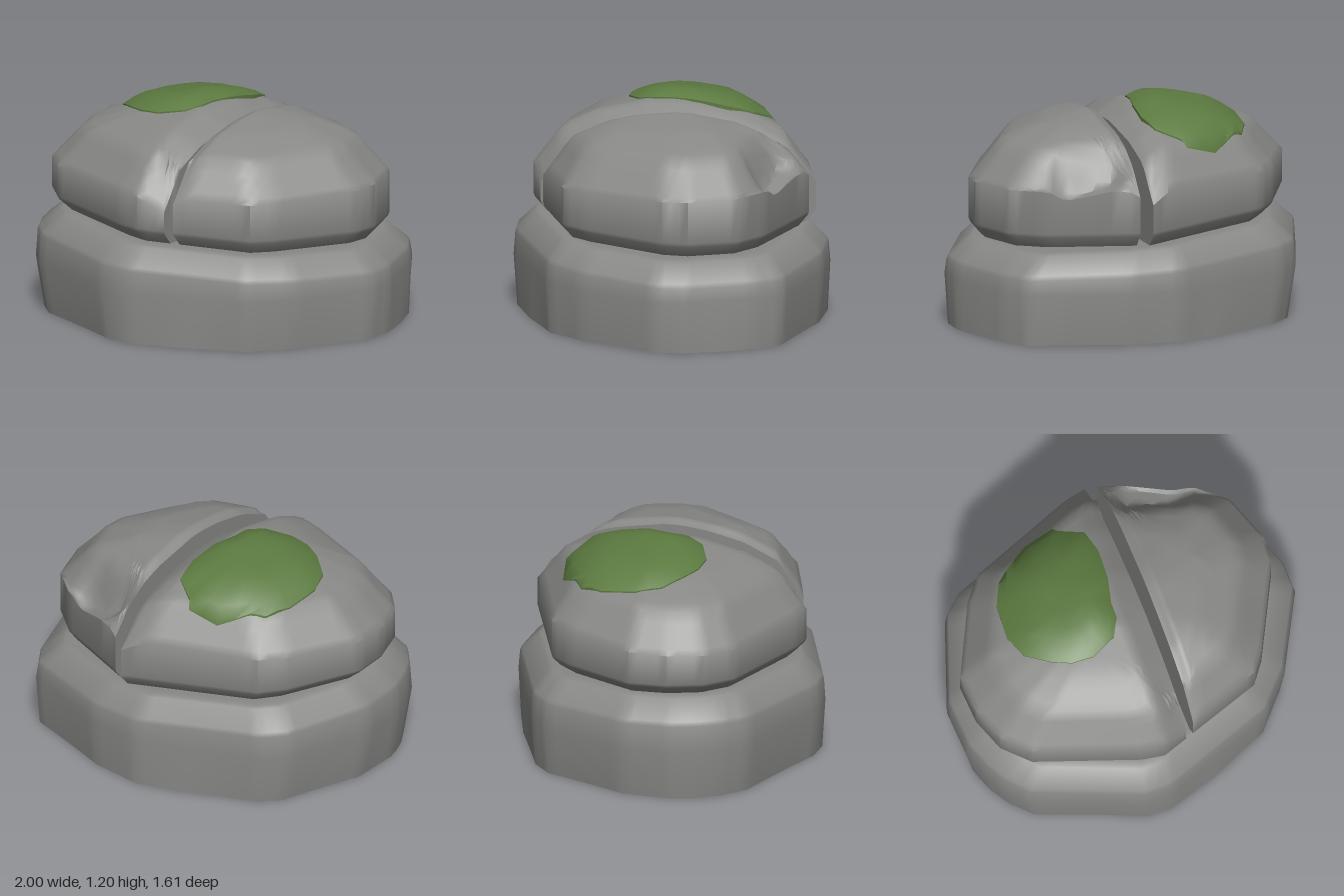
import * as THREE from 'three';
import { toCreasedNormals } from 'three/addons/utils/BufferGeometryUtils.js';

// Plan outlines as [x, z], running from the front round by the right side (-x) to the back and home again
const LEFT_HALF = [[0.41, -0.65], [0.8, -0.3], [0.9, -0.13], [0.9, 0.15], [0.84, 0.28], [0.48, 0.62], [0.36, 0.7], [-0.07, 0.7]];
const RIGHT_HALF = [[-0.12, 0.7], [-0.27, 0.7], [-0.38, 0.64], [-0.84, 0.27], [-0.92, 0.1], [-0.92, -0.1], [-0.86, -0.3],
  [-0.55, -0.6], [-0.41, -0.68], [0.36, -0.7]];
const WHOLE = [...RIGHT_HALF, ...LEFT_HALF];
const BASE = [[-0.31, 0.8], [-0.45, 0.75], [-0.92, 0.34], [-0.98, 0.2], [-1, 0.08], [-1, -0.08], [-0.92, -0.34], [-0.6, -0.73],
  [-0.46, -0.79], [0.25, -0.81], [0.52, -0.7], [0.96, -0.36], [1, -0.2], [1, 0.2], [0.95, 0.35], [0.6, 0.67], [0.37, 0.79]];
const MOSS = [[-0.58, -0.24], [-0.5, -0.42], [-0.4, -0.52], [-0.25, -0.57], [-0.15, -0.6], [0.02, -0.57], [0.03, -0.53],
  [0.12, -0.42], [0.1, -0.28], [0.03, -0.12], [-0.05, 0], [-0.08, 0.08], [-0.16, 0.15], [-0.31, 0.16], [-0.42, 0.11],
  [-0.5, 0.03], [-0.58, -0.1]].reverse();
const DOME = [[0, 1.15], [0.2, 1.145], [0.55, 1.09], [0.8, 1.01], [1, 0.81]];

// Splits a closed outline into short steps so that long faces stay flat
function subdivide(outline, step = 0.06) {
  const out = [];
  outline.forEach(([x, z], i) => {
    const [x2, z2] = outline[(i + 1) % outline.length];
    const n = Math.max(1, Math.round(Math.hypot(x2 - x, z2 - z) / step));
    for (let k = 0; k < n; k++) out.push([x + (x2 - x) * k / n, z + (z2 - z) * k / n]);
  });
  return out;
}

// Skins a list of equal closed rings, from the lowest outwards and up
function loft(rings, crease) {
  const n = rings[0].length, index = [];
  for (let r = 0; r < rings.length - 1; r++) {
    for (let i = 0; i < n; i++) {
      const a = r * n + i, a2 = r * n + (i + 1) % n;
      index.push(a, a + n, a2, a2, a + n, a2 + n);
    }
  }
  const g = new THREE.BufferGeometry();
  g.setAttribute('position', new THREE.Float32BufferAttribute(rings.flat(2), 3));
  g.setIndex(index);
  return toCreasedNormals(g, crease);
}

// Distance from the middle as a fraction of the way to the whole outline
function edgeFraction(x, z) {
  let t = 0;
  WHOLE.forEach(([ax, az], i) => {
    const [bx, bz] = WHOLE[(i + 1) % WHOLE.length];
    const nx = bz - az, nz = ax - bx;
    t = Math.max(t, (x * nx + z * nz) / (ax * nx + az * nz));
  });
  return Math.min(t, 1);
}

// Height of the domed top
function domeHeight(x, z) {
  const t = edgeFraction(x, z);
  const k = Math.max(1, DOME.findIndex(p => p[0] >= t));
  const [t0, y0] = DOME[k - 1], [t1, y1] = DOME[k];
  return y0 + (y1 - y0) * (t - t0) / (t1 - t0) - 0.02 * z * t;
}

// Chipped hollow at the back of the left stone
function chip(x, z) {
  const u = THREE.MathUtils.clamp(((x - 0.45) * 0.2 + (z + 0.45) * 0.12) / 0.0544, 0, 1);
  const d = Math.hypot(x - 0.45 - 0.2 * u, z + 0.45 - 0.12 * u);
  return 0.13 * Math.max(0, 1 - d / 0.12);
}

// One half of the split upper boulder
function upperStone(outline, [cx, cz], crackX, bevelDepth, bevelWidth, hollow) {
  const pts = subdivide(outline, 0.05);
  const top = (x, z) => {
    const d = Math.abs(x - (crackX - 0.355 * z)) * 0.94;
    return domeHeight(x, z) - bevelDepth * Math.max(0, 1 - d / bevelWidth) - (hollow ? chip(x, z) : 0);
  };
  // Scaling about a point on the crack keeps the crack walls straight
  const low = (s, y) => pts.map(([x, z]) => [crackX + (x - crackX) * s, y - 0.035 * x, z * s]);
  const rings = [pts.map(() => [cx, 0.53 - 0.035 * cx, cz]), low(0.92, 0.53), low(0.99, 0.59), low(1, 0.61)];
  for (const s of [1, 0.96, 0.91, 0.86, 0.8, 0.73, 0.65, 0.55, 0.45, 0.33, 0.2, 0]) {
    rings.push(pts.map(([px, pz]) => {
      const x = cx + (px - cx) * s, z = cz + (pz - cz) * s;
      return [x, top(x, z), z];
    }));
  }
  return loft(rings, 0.75);
}

// Hollow foot, open below, with a gently tilted top
function baseStone() {
  const pts = subdivide(BASE);
  const ring = (s, y, tilt = 0.037) => pts.map(([x, z]) => [x * s, y - tilt * x, z * s]);
  const foot = pts.map(([x, z]) => {
    const s = 1 - 0.03 * Math.abs(Math.sin(2 * Math.atan2(z, x)));
    return [x * s * (x < 0 ? 0.965 : 1), 0, z * s];
  });
  return loft([foot, ring(1, 0.28, 0), ring(0.99, 0.39), ring(0.98, 0.415), ring(0.87, 0.505),
    ring(0.85, 0.515), ring(0.8, 0.515), ring(0, 0.515)], 0.9);
}

// Thin cushion following the dome
function mossPatch() {
  const pts = subdivide(MOSS, 0.08).reverse();
  const cx = -0.22, cz = -0.18;
  const rings = [[1, -0.02], [1, 0.008], [0.88, 0.025], [0.7, 0.04], [0.5, 0.05], [0.25, 0.05], [0, 0.05]].map(([s, lift]) =>
    pts.map(([px, pz]) => {
      const x = cx + (px - cx) * s, z = cz + (pz - cz) * s;
      return [x, domeHeight(x, z) + lift, z];
    }));
  return loft(rings, 0.8);
}

export function createModel() {
  const stone = new THREE.MeshStandardMaterial({ color: 0x888886, side: THREE.DoubleSide });
  stone.name = 'stone grey';
  const moss = new THREE.MeshStandardMaterial({ color: 0x5c7a40, side: THREE.DoubleSide });
  moss.name = 'moss green';
  const group = new THREE.Group();
  group.name = 'splitBoulder';
  const add = (name, geometry, material) => {
    const mesh = new THREE.Mesh(geometry, material);
    mesh.name = name;
    group.add(mesh);
  };
  add('baseStone', baseStone(), stone);
  add('upperStoneRight', upperStone(RIGHT_HALF, [-0.3, 0], 0.125, 0.08, 0.14, false), stone);
  add('upperStoneLeft', upperStone(LEFT_HALF, [0.45, 0], 0.18, 0.03, 0.05, true), stone);
  add('mossPatch', mossPatch(), moss);
  return group;
}
